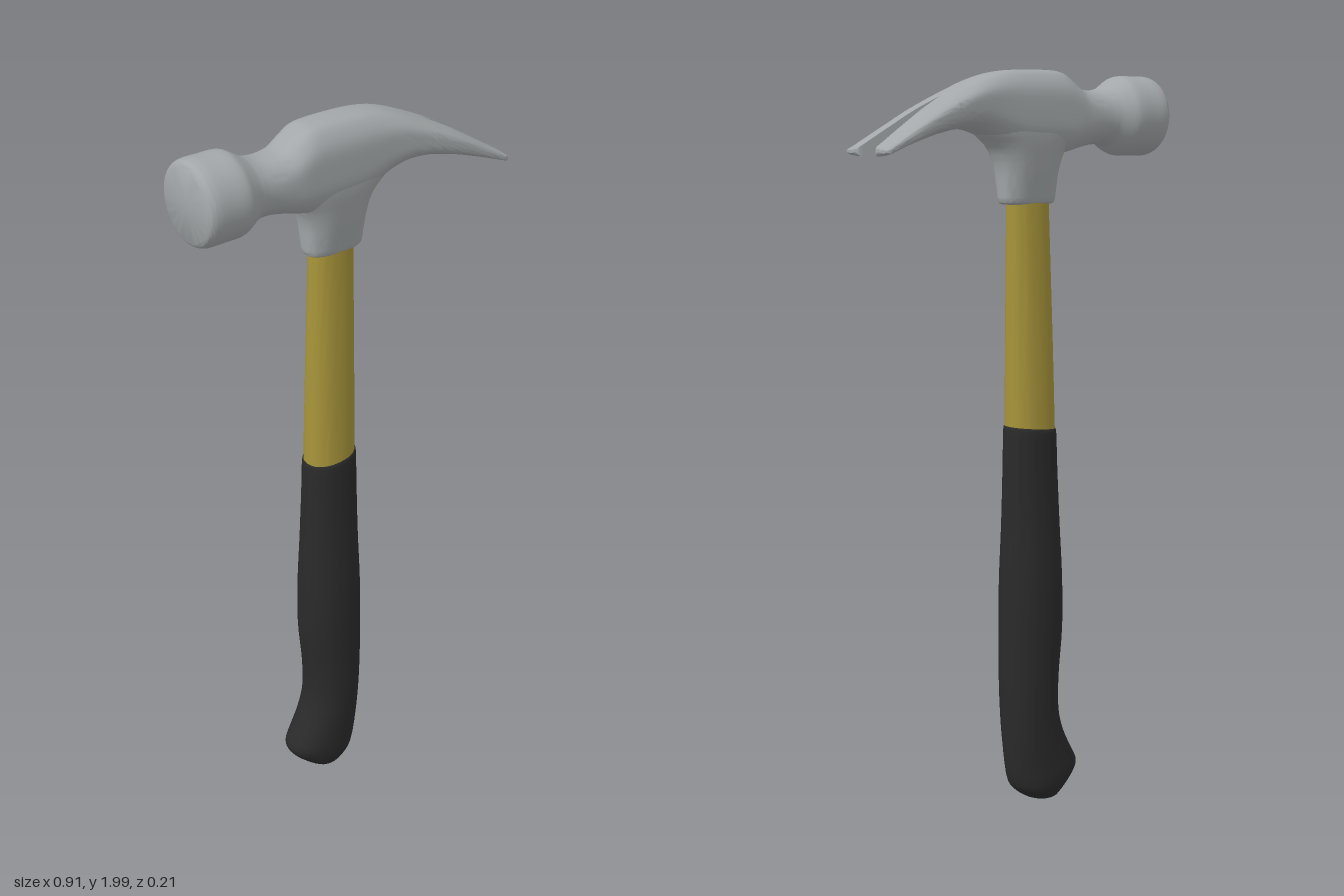
import * as THREE from 'three';
import { toCreasedNormals } from 'three/addons/utils/BufferGeometryUtils.js';

const SIDES = 48;

// Smoothly subdivide rows of section values
function smooth(rows, steps = 4) {
  const out = [];
  for (let i = 0; i < rows.length - 1; i++) {
    const a = rows[Math.max(i - 1, 0)], b = rows[i], c = rows[i + 1];
    const d = rows[Math.min(i + 2, rows.length - 1)];
    for (let s = 0; s < steps; s++) {
      const t = s / steps;
      out.push(b.map((v, k) => v + 0.5 * t * (c[k] - a[k] + t * (2 * a[k] - 5 * v + 4 * c[k] - d[k]
        + t * (3 * (v - c[k]) + d[k] - a[k])))));
    }
  }
  out.push(rows[rows.length - 1]);
  return out;
}

// Unit outline: 0 is a circle, 1 a softened octagon
function radius(angle, octagon) {
  const c = Math.abs(Math.cos(angle)), s = Math.abs(Math.sin(angle)), p = 14;
  const oct = Math.pow(c ** p + s ** p + (0.64 * (c + s)) ** p, -1 / p);
  return 1 + (oct - 1) * octagon;
}

// Skin a list of rings and cap both ends
function loft(rings) {
  const n = rings[0].length, pos = rings.flat(2), index = [];
  for (let i = 0; i < rings.length - 1; i++) {
    for (let j = 0; j < n; j++) {
      const a = i * n + j, b = i * n + (j + 1) % n;
      index.push(a, a + n, b, b, a + n, b + n);
    }
  }
  [0, rings.length - 1].forEach((r, end) => {
    const centre = pos.length / 3;
    for (let k = 0; k < 3; k++) pos.push(rings[r].reduce((sum, p) => sum + p[k], 0) / n);
    for (let j = 0; j < n; j++) {
      const a = r * n + j, b = r * n + (j + 1) % n;
      index.push(centre, end ? b : a, end ? a : b);
    }
  });
  const g = new THREE.BufferGeometry();
  g.setAttribute('position', new THREE.Float32BufferAttribute(pos, 3));
  g.setIndex(index);
  return toCreasedNormals(g, 0.7);
}

const angles = Array.from({ length: SIDES }, (_, j) => (j + 0.5) / SIDES * Math.PI * 2);

// Rows: y, xMin, xMax, half depth, octagon amount, slant
function uprightLoft(rows) {
  return loft(smooth(rows).map(([y, x0, x1, hz, oct, slant]) => angles.map(a => {
    const r = radius(a, oct), dx = (x1 - x0) / 2 * r * Math.cos(a);
    return [(x0 + x1) / 2 + dx, y + dx * slant, hz * r * Math.sin(a)];
  })));
}

// Rows: x, top, bottom, half depth, octagon amount, inner z limit (side 0 = whole section)
function lengthLoft(rows, side = 0) {
  return loft(smooth(rows).map(([x, top, bottom, hz, oct, inner]) => {
    const ring = angles.map(a => {
      const r = radius(a, oct);
      const y = (top + bottom) / 2 + (top - bottom) / 2 * r * Math.sin(a);
      const z = hz * r * Math.cos(a);
      return [x, y, side ? side * Math.max(z, inner) : z];
    });
    return side < 0 ? ring.reverse() : ring;
  }));
}

export function createModel() {
  const steel = new THREE.MeshStandardMaterial({ color: 0xa3a7a9 });
  steel.name = 'steel';
  const yellow = new THREE.MeshStandardMaterial({ color: 0xa6943a });
  yellow.name = 'yellow';
  const rubber = new THREE.MeshStandardMaterial({ color: 0x2a2a2b });
  rubber.name = 'rubber';

  const model = new THREE.Group();
  model.name = 'clawHammer';
  const add = (name, geometry, material) => {
    const mesh = new THREE.Mesh(geometry, material);
    mesh.name = name;
    model.add(mesh);
  };

  // Rubber grip with a hooked butt
  add('grip', uprightLoft([
    [0.006, -0.115, -0.07, 0.035, 0.3, 0],
    [0.016, -0.135, -0.035, 0.055, 0.3, 0],
    [0.045, -0.168, 0.0, 0.067, 0.3, 0],
    [0.075, -0.194, 0.013, 0.071, 0.3, 0],
    [0.1, -0.2, 0.018, 0.072, 0.3, 0],
    [0.13, -0.186, 0.022, 0.072, 0.3, 0],
    [0.19, -0.154, 0.027, 0.073, 0.3, 0],
    [0.26, -0.133, 0.031, 0.074, 0.3, 0],
    [0.36, -0.132, 0.035, 0.075, 0.3, 0],
    [0.5, -0.144, 0.036, 0.077, 0.3, 0],
    [0.64, -0.143, 0.034, 0.076, 0.3, 0],
    [0.8, -0.136, 0.029, 0.067, 0.3, 0],
    [0.95, -0.13, 0.026, 0.061, 0.3, 0.1],
    [1.05, -0.126, 0.024, 0.059, 0.3, 0.1],
    [1.058, -0.121, 0.019, 0.054, 0.3, 0.1],
  ]), rubber);

  // Bare shaft
  add('shaft', uprightLoft([
    [1.0, -0.124, 0.021, 0.056, 0.3, 0],
    [1.3, -0.116, 0.021, 0.049, 0.3, 0],
    [1.7, -0.103, 0.02, 0.038, 0.3, 0],
  ]), yellow);

  // Socket flaring up into the head
  add('socket', uprightLoft([
    [1.655, -0.108, 0.03, 0.034, 1, 0],
    [1.662, -0.119, 0.041, 0.041, 1, 0],
    [1.69, -0.122, 0.044, 0.047, 1, 0],
    [1.74, -0.126, 0.049, 0.057, 1, 0],
    [1.78, -0.138, 0.06, 0.064, 1, 0],
    [1.81, -0.158, 0.08, 0.069, 1, 0],
    [1.84, -0.185, 0.115, 0.072, 1, 0],
    [1.88, -0.195, 0.13, 0.073, 1, 0],
  ]), steel);

  // Striking face, neck and body
  add('head', lengthLoft([
    [-0.455, 1.972, 1.794, 0.089, 0, 0],
    [-0.448, 1.983, 1.783, 0.1, 0, 0],
    [-0.43, 1.989, 1.777, 0.106, 0, 0],
    [-0.39, 1.989, 1.777, 0.106, 0, 0],
    [-0.345, 1.988, 1.778, 0.105, 0, 0],
    [-0.32, 1.975, 1.787, 0.094, 0, 0],
    [-0.29, 1.958, 1.805, 0.08, 0.1, 0],
    [-0.25, 1.95, 1.808, 0.074, 0.3, 0],
    [-0.2, 1.954, 1.8, 0.074, 0.6, 0],
    [-0.165, 1.974, 1.792, 0.075, 0.9, 0],
    [-0.13, 1.995, 1.785, 0.075, 1, 0],
    [-0.08, 2.0, 1.785, 0.075, 1, 0],
    [0, 1.999, 1.79, 0.075, 1, 0],
    [0.05, 1.995, 1.805, 0.075, 1, 0],
    [0.1, 1.985, 1.83, 0.076, 1, 0],
    [0.15, 1.968, 1.846, 0.079, 1, 0],
    [0.2, 1.946, 1.848, 0.083, 1, 0],
    [0.235, 1.93, 1.844, 0.086, 1, 0],
  ]), steel);

  // Split claw, one tine on each side
  [['leftTine', 1], ['rightTine', -1]].forEach(([name, side]) => {
    add(name, lengthLoft([
      [0.235, 1.93, 1.844, 0.086, 1, 0],
      [0.3, 1.897, 1.829, 0.091, 1, 0.013],
      [0.38, 1.849, 1.804, 0.094, 1, 0.026],
      [0.44, 1.812, 1.784, 0.096, 1, 0.036],
      [0.45, 1.806, 1.784, 0.095, 1, 0.038],
      [0.455, 1.8, 1.789, 0.091, 1, 0.042],
    ], side), steel);
  });

  return model;
}
